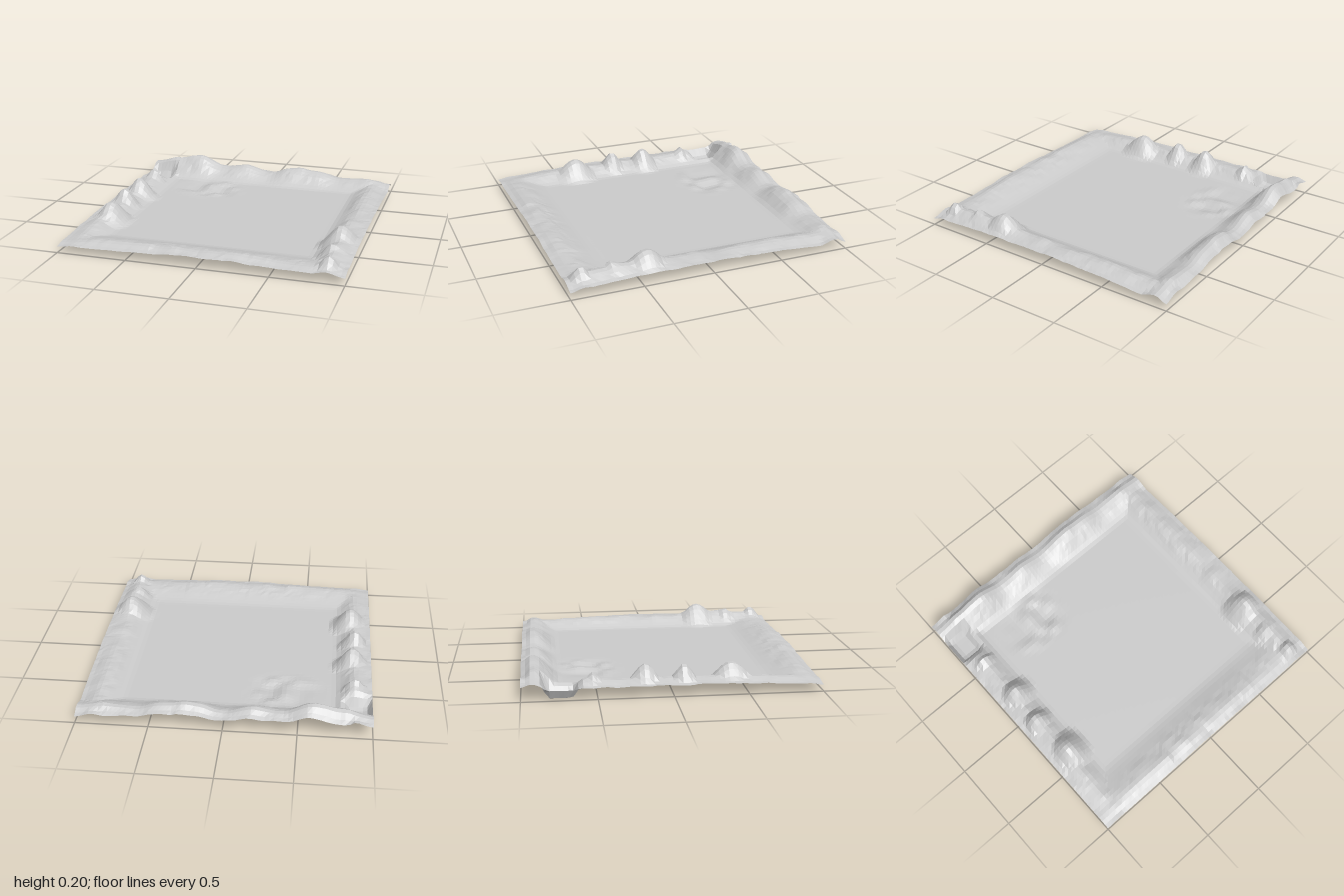
import * as THREE from 'three';

const CELLS = 64, FLOOR = 0.035;
const smooth = (a, b, v) => THREE.MathUtils.smoothstep(v, a, b);

// Evenly spaced values from -1 to 1, blended smoothly
function sample(list, t) {
  const f = THREE.MathUtils.clamp((t + 1) / 2, 0, 1) * (list.length - 1);
  const i = Math.min(Math.floor(f), list.length - 2);
  return THREE.MathUtils.lerp(list[i], list[i + 1], smooth(0, 1, f - i));
}

// Repeatable lattice noise, -1 to 1
function hash(i, j) {
  const s = Math.sin(i * 127.1 + j * 311.7) * 43758.5453;
  return (s - Math.floor(s)) * 2 - 1;
}
function noise(x, z) {
  const i = Math.floor(x), j = Math.floor(z);
  const u = smooth(0, 1, x - i), v = smooth(0, 1, z - j), mix = THREE.MathUtils.lerp;
  return mix(mix(hash(i, j), hash(i + 1, j), u), mix(hash(i, j + 1), hash(i + 1, j + 1), u), v);
}

// Rim ridges: crest heights along each side, outer edge heights,
// distance of the crest from the edge and of the foot from the edge
const RIDGES = {
  back: {
    crest: [0.12, 0.16, 0.195, 0.125, 0.15, 0.095, 0.155, 0.145, 0.1, 0.11, 0.08],
    edge: [0.09, 0.1, 0.14, 0.1, 0.11, 0.08, 0.11, 0.11, 0.08, 0.07, 0.05],
    at: 0.08, foot: 0.28,
  },
  front: {
    crest: [0.06, 0.085, 0.09, 0.095, 0.1, 0.1, 0.1, 0.095, 0.085, 0.09, 0.07],
    edge: [0.045, 0.055, 0.06, 0.065, 0.075, 0.08, 0.08, 0.07, 0.065, 0.06, 0.05],
    at: 0.09, foot: 0.36,
  },
  left: {
    crest: [0.08, 0.09, 0.1, 0.1, 0.1, 0.1, 0.1, 0.12, 0.13, 0.12, 0.08],
    edge: [0.05, 0.055, 0.07, 0.08, 0.085, 0.085, 0.085, 0.085, 0.08, 0.07, 0.05],
    at: 0.12, foot: 0.3,
  },
  right: {
    crest: [0.12, 0.12, 0.11, 0.1, 0.1, 0.1, 0.1, 0.1, 0.09, 0.08, 0.06],
    edge: [0.09, 0.09, 0.08, 0.08, 0.08, 0.08, 0.08, 0.075, 0.07, 0.06, 0.045],
    at: 0.12, foot: 0.27,
  },
};
function ridge({ crest, edge, at, foot }, along, d) {
  const top = sample(crest, along);
  if (d < at) return THREE.MathUtils.lerp(sample(edge, along), top, smooth(0, at, d));
  return THREE.MathUtils.lerp(top, FLOOR, smooth(at, foot, d));
}

// Hills on the rim: x, z, summit height, half width in x, half width in z
const HILLS = [
  [-0.86, -0.18, 0.195, 0.15, 0.16],
  [-0.88, 0.08, 0.185, 0.14, 0.13],
  [-0.85, 0.4, 0.195, 0.16, 0.21],
  [-0.88, -0.53, 0.15, 0.13, 0.1],
  [0.87, 0.44, 0.195, 0.18, 0.22],
  [0.86, 0.68, 0.15, 0.14, 0.14],
  [0.87, 0.89, 0.155, 0.12, 0.13],
];

function height(x, z) {
  // Walls around the basin
  let y = Math.max(
    FLOOR,
    ridge(RIDGES.back, x, 1 + z), ridge(RIDGES.front, x, 1 - z),
    ridge(RIDGES.right, z, 1 + x), ridge(RIDGES.left, z, 1 - x),
  );
  for (const [hx, hz, top, rx, rz] of HILLS) {
    const r = Math.hypot((x - hx) / rx, (z - hz) / rz);
    y = Math.max(y, FLOOR + (top - FLOOR) * (1 - smooth(0, 1.05, r)));
  }
  // Rough rock where the ground rises
  const rough = smooth(0.01, 0.06, y - FLOOR);
  y += rough * (0.007 * noise(x * 11, z * 11) + 0.004 * noise(x * 26 + 9, z * 26));
  // Low mounds on the basin floor
  const patch = 1 - smooth(0.5, 1.1, Math.hypot((x + 0.4) / 0.28, (z + 0.55) / 0.23));
  y += patch * 0.02 * noise(x * 10 + 3, z * 10 + 5);
  // Sunken pit in the back corner
  const pit = (1 - smooth(0.055, 0.12, Math.abs(x + 0.9))) * (1 - smooth(0.07, 0.14, Math.abs(z + 0.74)));
  y = THREE.MathUtils.lerp(y, 0, pit);
  return THREE.MathUtils.clamp(y, 0, 0.2);
}

export function createModel() {
  const group = new THREE.Group();
  group.name = 'terrain';
  const ground = new THREE.PlaneGeometry(2, 2, CELLS, CELLS).rotateX(-Math.PI / 2);
  const p = ground.attributes.position;
  for (let i = 0; i < p.count; i++) p.setY(i, height(p.getX(i), p.getZ(i)));
  ground.computeVertexNormals();
  const mesh = new THREE.Mesh(ground, new THREE.MeshStandardMaterial({
    color: 0xcccccc, flatShading: true, side: THREE.DoubleSide,
  }));
  mesh.name = 'basinGround';
  group.add(mesh);
  return group;
}
